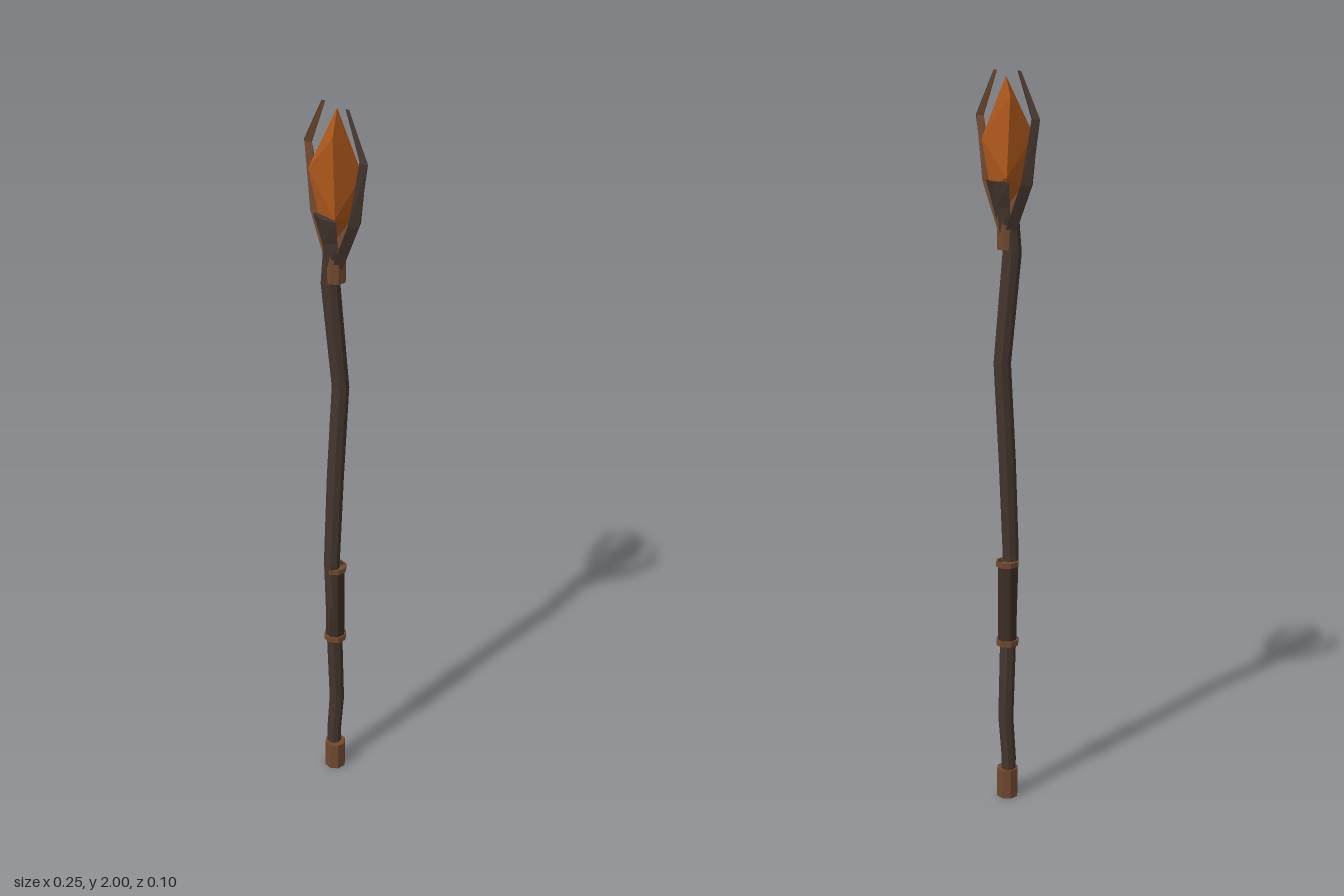
import * as THREE from 'three';
import { ConvexGeometry } from 'three/addons/geometries/ConvexGeometry.js';

const material = (name, color) => Object.assign(new THREE.MeshStandardMaterial({ color }), { name });

// Horizontal ring of points, counter-clockwise seen from above
function ring(sides, x, y, z, rx, rz = rx, turn = 0) {
  return Array.from({ length: sides }, (_, i) => {
    const a = turn + (i / sides) * Math.PI * 2;
    return new THREE.Vector3(x + Math.cos(a) * rx, y, z - Math.sin(a) * rz);
  });
}

// Faceted skin over stacked rings; side number accentSide gets material 1
function loft(rings, accentSide = -1) {
  const n = rings[0].length, plain = [], accent = [];
  for (let k = 0; k < rings.length - 1; k++) {
    for (let i = 0; i < n; i++) {
      const j = (i + 1) % n, lo = rings[k], hi = rings[k + 1];
      (i === accentSide ? accent : plain).push(lo[i], lo[j], hi[j], lo[i], hi[j], hi[i]);
    }
  }
  const bottom = rings[0], top = rings[rings.length - 1];
  for (let i = 1; i < n - 1; i++) {
    plain.push(top[0], top[i], top[i + 1], bottom[0], bottom[i + 1], bottom[i]);
  }
  const g = new THREE.BufferGeometry().setFromPoints([...plain, ...accent]);
  g.addGroup(0, plain.length, 0);
  g.addGroup(plain.length, accent.length, 1);
  g.computeVertexNormals();
  return g;
}

export function createModel() {
  const wood = material('dark wood', 0x44362e);
  const leather = material('grip leather', 0x3c2d25);
  const bronze = material('aged bronze', 0x70492f);
  const amber = material('amber crystal', 0xae581c);

  const model = new THREE.Group();
  model.name = 'staff';
  const add = (name, geometry, mat) => {
    const mesh = new THREE.Mesh(geometry, mat);
    mesh.name = name;
    model.add(mesh);
    return mesh;
  };
  const band = (name, y0, y1, r, mat, sides = 8) =>
    add(name, loft([y0, y1].map(y => ring(sides, 0, y, 0, r, r, Math.PI / sides))), mat);

  // Crooked shaft: x, y, z, radius
  add('shaft', loft([
    [-0.005, 0.04, 0, 0.02],
    [-0.006, 0.12, 0, 0.02],
    [-0.003, 0.24, -0.008, 0.021],
    [0, 0.45, 0.002, 0.022],
    [0, 0.72, 0.012, 0.022],
    [0, 0.98, 0, 0.023],
    [0.004, 1.25, -0.014, 0.023],
    [-0.012, 1.54, 0.006, 0.025],
    [-0.005, 1.64, 0.004, 0.024],
  ].map(([x, y, z, r]) => ring(8, x, y, z, r))), wood);

  // Foot, grip with its two rings, and collar
  band('footCap', 0, 0.085, 0.03, bronze);
  band('grip', 0.46, 0.7, 0.027, leather);
  band('lowerGripRing', 0.457, 0.473, 0.032, bronze);
  band('upperGripRing', 0.686, 0.7, 0.032, bronze);
  band('collar', 1.55, 1.64, 0.028, bronze);

  // Long side prongs: y, centre x, half width, half depth
  const prong = loft([
    [1.585, 0.008, 0.018, 0.02],
    [1.72, 0.074, 0.019, 0.021],
    [1.885, 0.108, 0.016, 0.011],
    [2.0, 0.046, 0.007, 0.003],
  ].map(([y, x, rx, rz]) => ring(4, x, y, 0, rx, rz)), 1);
  add('leftProng', prong, [wood, bronze]);
  add('rightProng', prong, [wood, bronze]).rotation.y = Math.PI;

  // Short flared claws in front and behind
  const claw = loft([
    ring(4, 0, 1.59, 0.01, 0.018, 0.016),
    ring(4, 0, 1.66, 0.02, 0.034, 0.016),
    ring(4, 0.003, 1.727, 0.036, 0.046, 0.016),
  ], 1);
  add('frontClaw', claw, [wood, bronze]);
  add('backClaw', claw, [wood, bronze]).rotation.y = Math.PI;

  // Rough-cut crystal
  add('crystal', new ConvexGeometry([
    [-0.012, 1.988, -0.015],
    [0.038, 1.935, 0.038], [-0.046, 1.94, -0.03],
    [-0.05, 1.84, 0.045], [0.048, 1.83, -0.045],
    [0.036, 1.73, 0.03], [-0.05, 1.74, -0.045],
    [-0.026, 1.71, 0.028], [0.026, 1.71, -0.036],
    [0, 1.66, 0],
  ].map(p => new THREE.Vector3(...p))), amber);

  return model;
}
